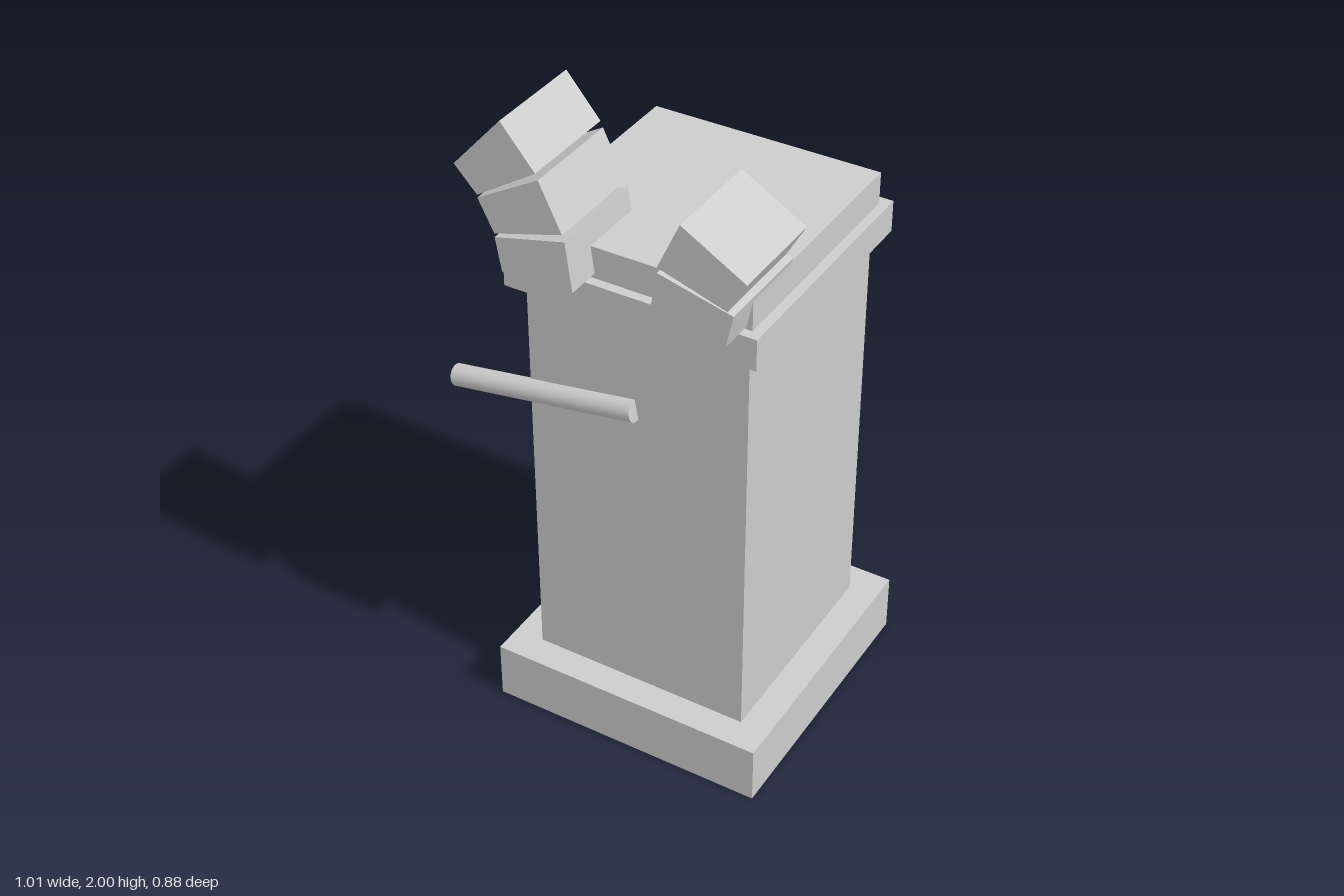
import * as THREE from 'three';

export function createModel() {
  const model = new THREE.Group();
  const stone = new THREE.MeshStandardMaterial({ color: 0xcccccc });
  stone.name = 'pale stone';

  const add = (name, geometry) => {
    const mesh = new THREE.Mesh(geometry, stone);
    mesh.name = name;
    model.add(mesh);
    return mesh;
  };

  // Square pillar: stacked slabs sharing one centre line
  const slab = (name, width, bottom, top) =>
    add(name, new THREE.BoxGeometry(width, top - bottom, width))
      .position.set(0.077, (bottom + top) / 2, -0.015);
  slab('plinth', 0.852, 0, 0.18);
  slab('column', 0.672, 0.18, 1.45);
  slab('capital', 0.755, 1.45, 1.545);
  slab('topSlab', 0.698, 1.545, 1.64);

  // Wedge-shaped arch stones, drawn from the front and extruded along z
  const archStone = (name, corners) => {
    const shape = new THREE.Shape(corners.map(([x, y]) => new THREE.Vector2(x, y)));
    add(name, new THREE.ExtrudeGeometry(shape, { depth: 0.302, bevelEnabled: false }))
      .position.z = 0.137;
  };
  archStone('rightLowerStone', [[-0.25, 1.553], [-0.036, 1.56], [-0.055, 1.706], [-0.268, 1.652]]);
  archStone('rightMiddleStone', [[-0.268, 1.663], [-0.062, 1.725], [-0.128, 1.863], [-0.315, 1.755]]);
  archStone('rightUpperStone', [[-0.315, 1.763], [-0.135, 1.88], [-0.235, 2], [-0.382, 1.835]]);
  archStone('leftLowerStone', [[0.188, 1.56], [0.408, 1.553], [0.43, 1.652], [0.213, 1.706]]);
  archStone('leftUpperStone', [[0.213, 1.722], [0.412, 1.66], [0.465, 1.755], [0.278, 1.865]]);

  // Tilted rod half sunk into the front of the column
  const start = new THREE.Vector3(-0.5, 1.064, 0.328);
  const end = new THREE.Vector3(0.077, 1.16, 0.328);
  const axis = end.clone().sub(start);
  const rod = add('rod', new THREE.CylinderGeometry(0.032, 0.032, axis.length(), 32));
  rod.position.copy(start).add(end).multiplyScalar(0.5);
  rod.quaternion.setFromUnitVectors(new THREE.Vector3(0, 1, 0), axis.normalize());

  return model;
}
